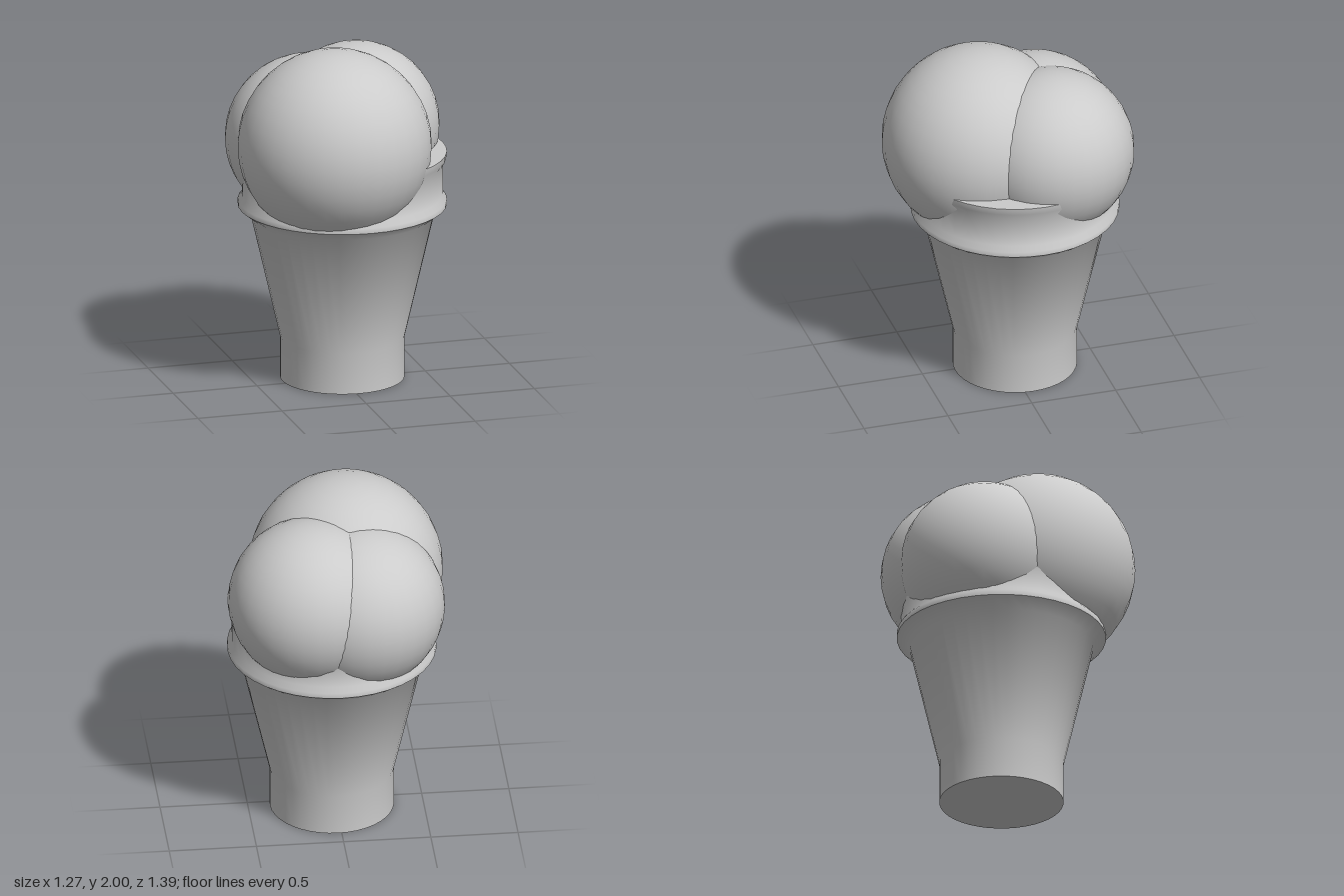
import * as THREE from 'three';
import { toCreasedNormals } from 'three/addons/utils/BufferGeometryUtils.js';

export function createModel() {
  const model = new THREE.Group();
  model.name = 'iceCreamCone';
  const material = new THREE.MeshStandardMaterial({ color: 0xcccccc });

  // Wafer cup: straight foot, flared body, ledge and upright collar
  const profile = [
    [0, 0], [0.355, 0], [0.355, 0.24], [0.525, 0.975],
    [0.597, 1.03], [0.597, 1.06], [0.573, 1.09], [0.573, 1.27],
    [0.592, 1.305], [0.597, 1.345], [0, 1.345],
  ].map(([r, y]) => new THREE.Vector2(r, y));
  const cup = new THREE.Mesh(
    toCreasedNormals(new THREE.LatheGeometry(profile, 40), 0.85), material);
  cup.name = 'waferCup';
  cup.position.set(0.02, 0, -0.045);
  model.add(cup);

  // Three overlapping scoops: name, radius, centre
  const scoops = [
    ['frontScoop', 0.555, [-0.08, 1.445, 0.14]],
    ['backLeftScoop', 0.476, [0.155, 1.445, -0.22]],
    ['backRightScoop', 0.48, [-0.13, 1.395, -0.21]],
  ];
  for (const [name, radius, centre] of scoops) {
    const scoop = new THREE.Mesh(new THREE.SphereGeometry(radius, 32, 20), material);
    scoop.name = name;
    scoop.position.set(...centre);
    model.add(scoop);
  }
  return model;
}
